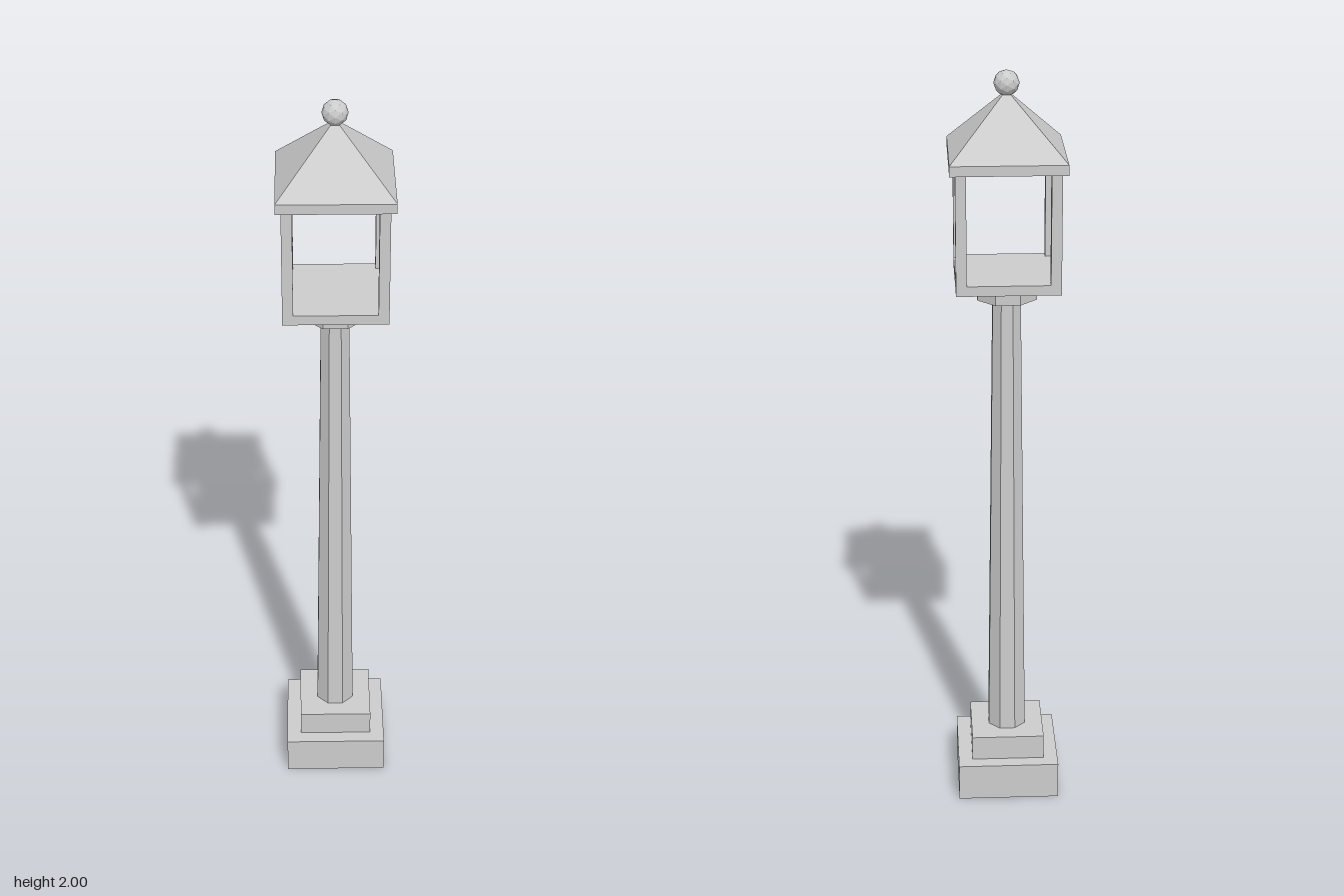
import * as THREE from 'three';

export function createModel() {
  const model = new THREE.Group();
  const grey = new THREE.MeshStandardMaterial({ color: 0xcccccc });
  grey.name = 'light grey';
  grey.flatShading = true;

  const add = (name, geometry, x, y, z) => {
    const mesh = new THREE.Mesh(geometry, grey);
    mesh.name = name;
    mesh.position.set(x, y, z);
    model.add(mesh);
    return mesh;
  };
  // Square slab between two heights
  const slab = (name, half, y0, y1, x = 0, z = 0) =>
    add(name, new THREE.BoxGeometry(half * 2, y1 - y0, half * 2), x, (y0 + y1) / 2, z);
  // Prism, cone or taper with one flat side facing the front
  const prism = (name, sides, rTop, rBottom, y0, y1) =>
    add(name, new THREE.CylinderGeometry(rTop, rBottom, y1 - y0, sides).rotateY(Math.PI / sides), 0, (y0 + y1) / 2, 0);

  // Stepped base
  slab('lowerBase', 0.136, 0, 0.102);
  slab('upperBase', 0.098, 0.102, 0.17);

  // Tapered eight-sided pole and collar
  prism('pole', 8, 0.039, 0.054, 0.17, 1.415);
  prism('collar', 8, 0.082, 0.082, 1.415, 1.46);

  // Open lantern: floor and four corner posts
  slab('lanternFloor', 0.132, 1.46, 1.486);
  for (const x of [-1, 1]) {
    for (const z of [-1, 1]) {
      slab('lanternPost', 0.0135, 1.486, 1.771, x * 0.1185, z * 0.1185);
    }
  }

  // Eaves, pyramid roof and faceted ball
  slab('eaves', 0.146, 1.771, 1.797);
  const roof = new THREE.ConeGeometry(0.146 * Math.SQRT2, 0.153, 4).rotateY(Math.PI / 4);
  add('roof', roof, 0, 1.797 + 0.0765, 0);
  add('finial', new THREE.IcosahedronGeometry(0.0325, 1), 0, 1.9675, 0);

  return model;
}
